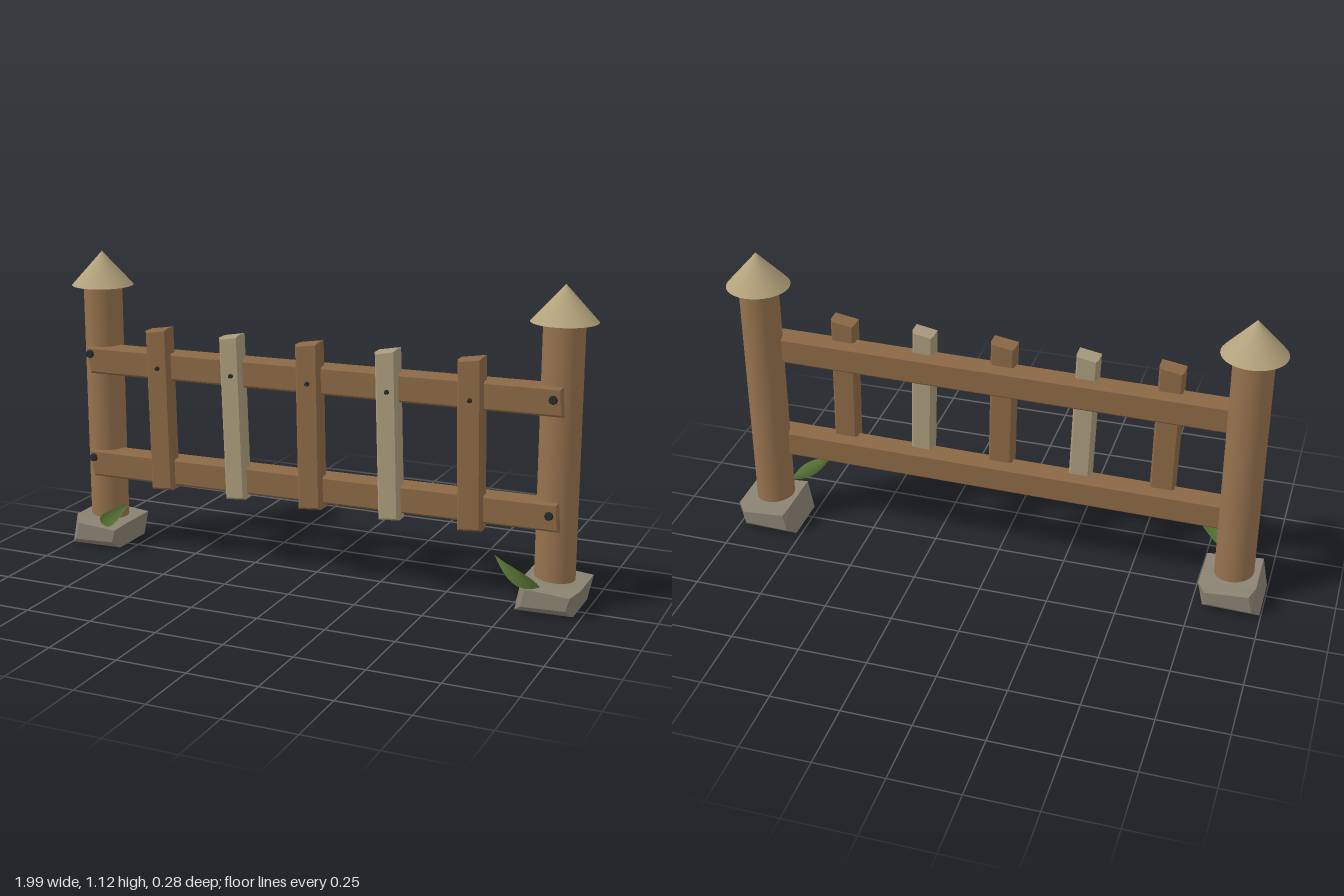
import * as THREE from 'three';

const mat = (color, opts = {}) => new THREE.MeshStandardMaterial({ color, ...opts });
const MAT = {
  wood: mat(0x8b6845),
  paleWood: mat(0xa89a7b),
  post: mat(0x96724e),
  cap: mat(0xb3a27c),
  stone: mat(0x8a8272),
  iron: mat(0x262b2b),
  leaf: mat(0x5f7d3a, { side: THREE.DoubleSide }),
};

const POST_X = 0.882, POST_Z = -0.024;

function add(parent, name, geometry, material, x = 0, y = 0, z = 0) {
  const mesh = new THREE.Mesh(geometry, material);
  mesh.name = name;
  mesh.position.set(x, y, z);
  parent.add(mesh);
  return mesh;
}

// Bevelled slab: outline corners (counter-clockwise) spanning z0..z1
function slab(corners, z0, z1, bevel) {
  const shape = new THREE.Shape(corners.map(([x, y]) => new THREE.Vector2(x, y)));
  const geometry = new THREE.ExtrudeGeometry(shape, {
    depth: z1 - z0 - 2 * bevel,
    bevelEnabled: true,
    bevelSize: bevel,
    bevelOffset: -bevel,
    bevelThickness: bevel,
    bevelSegments: 1,
  });
  return geometry.translate(0, 0, z0 + bevel);
}

// Short round head facing the front
function studGeometry(radius, depth) {
  return new THREE.CylinderGeometry(radius * 0.8, radius, depth, 8).rotateX(Math.PI / 2);
}

// Curved leaf, folded along its midrib; side is -1 or 1
function leafGeometry(side) {
  const path = new THREE.QuadraticBezierCurve3(
    new THREE.Vector3(0.86, 0.1, 0.085),
    new THREE.Vector3(0.8, 0.125, 0.155),
    new THREE.Vector3(0.71, 0.207, 0.122));
  const across = new THREE.Vector3(0.55, 0.8, 0.05);
  const steps = 8, positions = [], index = [];
  for (let i = 0; i <= steps; i++) {
    const t = i / steps;
    const p = path.getPoint(t);
    const w = 0.027 * Math.sin(Math.PI * Math.pow(t, 0.85)) + 0.002 * (1 - t);
    for (const k of [-1, 0, 1]) {
      const fold = k === 0 ? -w * 0.3 : 0;
      positions.push(side * (p.x + across.x * w * k), p.y + across.y * w * k, p.z + across.z * w * k + fold);
    }
    if (i === steps) continue;
    for (const k of [0, 1]) {
      const a = i * 3 + k, b = a + 1, c = a + 3, d = a + 4;
      if (side > 0) index.push(a, b, c, b, d, c);
      else index.push(a, c, b, b, c, d);
    }
  }
  const geometry = new THREE.BufferGeometry();
  geometry.setAttribute('position', new THREE.Float32BufferAttribute(positions, 3));
  geometry.setIndex(index);
  geometry.computeVertexNormals();
  return geometry;
}

export function createModel() {
  const fence = new THREE.Group();
  fence.name = 'fence';

  // End posts with conical caps, foot stones and a leaf each
  const stone = slab([[-0.113, 0], [0.093, 0.004], [0.113, 0.098], [-0.092, 0.115]], -0.142, 0.092, 0.025);
  for (const side of [-1, 1]) {
    const end = new THREE.Group();
    end.name = side < 0 ? 'rightPost' : 'leftPost';
    fence.add(end);
    const x = side * POST_X;
    add(end, 'postShaft', new THREE.CylinderGeometry(0.071, 0.071, 0.95, 32), MAT.post, x, 0.525, POST_Z);
    add(end, 'postCap', new THREE.ConeGeometry(0.114, 0.126, 32), MAT.cap, x, 1.058, POST_Z);
    add(end, 'footStone', stone, MAT.stone, x, 0, 0);
    add(end, 'leaf', leafGeometry(side), MAT.leaf);
  }

  // Two slightly tilted rails with bolts at both ends
  const rail = slab([[-0.9, -0.053], [0.912, -0.036], [0.905, 0.065], [-0.92, 0.048]], -0.027, 0.057, 0.008);
  const bolt = studGeometry(0.016, 0.012);
  for (const [name, y] of [['lowerRail', 0.326], ['upperRail', 0.724]]) {
    add(fence, name, rail, MAT.wood, 0, y, 0);
    for (const side of [-1, 1]) add(fence, 'railBolt', bolt, MAT.iron, side * 0.882, y + 0.028, 0.087);
  }

  // Leaning pickets, alternating in colour, each with one nail
  const nail = studGeometry(0.009, 0.012);
  for (let i = 0; i < 5; i++) {
    const pale = i % 2 === 1;
    const w = pale ? 0.039 : 0.044;
    const lean = pale ? 0.01 : 0.006;
    const x = -0.598 + i * 0.2985;
    const picket = slab([
      [lean - w, 0.258], [lean + w, 0.265], [-lean + w, 0.871], [-lean - w, 0.857],
    ], 0.018, 0.082, 0.008);
    add(fence, 'picket', picket, pale ? MAT.paleWood : MAT.wood, x, 0, 0);
    add(fence, 'picketNail', nail, MAT.iron, x, 0.722, 0.086);
  }

  return fence;
}
